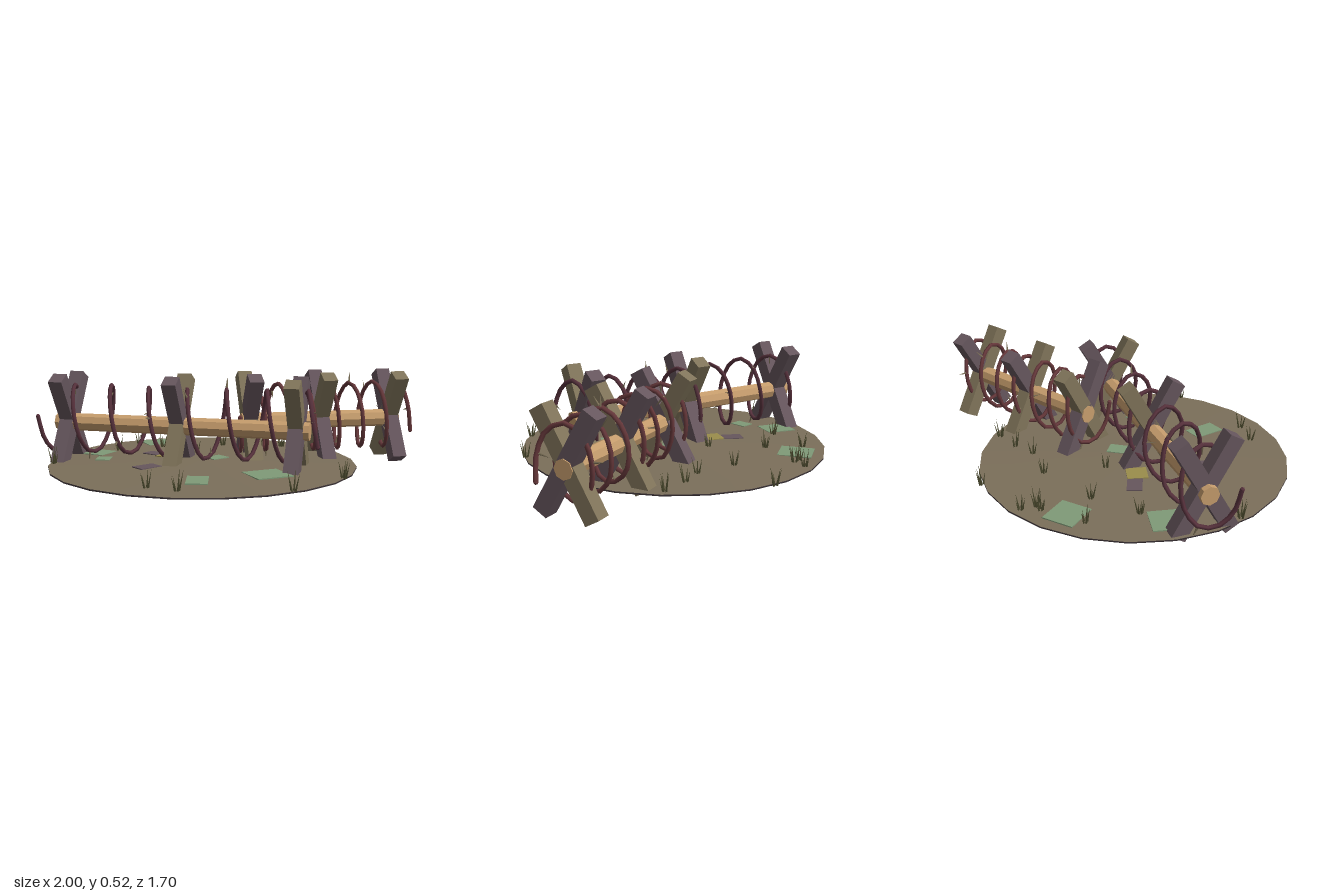
import * as THREE from 'three';

const mat = (name, color, extra = {}) => {
  const m = new THREE.MeshStandardMaterial({ color, ...extra });
  m.name = name;
  return m;
};

export function createModel() {
  const M = {
    earth: mat('earth', 0x7b6f5a),
    darkEarth: mat('dark earth', 0x4c4145),
    beam: mat('pale timber', 0xc59c6c),
    olive: mat('olive timber', 0x80745a),
    purple: mat('purple timber', 0x66565d),
    wire: mat('purple wire', 0x58323d),
    rust: mat('rusty wire', 0x68393c),
    grass: mat('dry grass', 0x4b4a2e),
    moss: mat('moss', 0x7f9a78),
    straw: mat('straw', 0x9a8d4c),
  };
  const model = new THREE.Group();
  model.name = 'barricadeDiorama';

  const add = (parent, name, geometry, material, x = 0, y = 0, z = 0) => {
    const mesh = new THREE.Mesh(geometry, material);
    mesh.name = name;
    mesh.position.set(x, y, z);
    parent.add(mesh);
    return mesh;
  };

  let seed = 7;
  const rand = () => (seed = (seed * 16807) % 2147483647) / 2147483647;

  // Gently domed ground disc with a dark underside
  const R = 0.836, cx = -0.1, cz = 0.015;
  const V = (x, y) => new THREE.Vector2(x, y);
  const groundY = (x, z) => 0.06 - 0.018 * Math.min(1, Math.hypot(x - cx, z - cz) / R);
  add(model, 'groundTop', new THREE.LatheGeometry(
    [V(R, 0.042), V(R * 0.5, 0.051), V(0, 0.06)], 24, Math.PI / 24), M.earth, cx, 0, cz);
  add(model, 'groundUnderside', new THREE.LatheGeometry(
    [V(0, 0.034), V(R, 0.034), V(R, 0.042)], 24, Math.PI / 24), M.darkEarth, cx, 0, cz);

  // Flat patches on the ground: x, z, width, depth, turn, material
  [
    [-0.55, -0.5, 0.17, 0.18, 0.7, M.moss],
    [-0.77, -0.08, 0.17, 0.15, -0.2, M.moss],
    [-0.65, 0.1, 0.08, 0.1, 0.2, M.moss],
    [-0.04, -0.05, 0.09, 0.11, -0.6, M.moss],
    [0.32, 0.27, 0.2, 0.19, 0.7, M.moss],
    [0.02, 0.5, 0.11, 0.18, 0.25, M.moss],
    [-0.33, 0.27, 0.09, 0.13, -0.6, M.purple],
    [-0.42, -0.1, 0.12, 0.08, -0.4, M.purple],
    [-0.32, -0.05, 0.11, 0.11, -0.25, M.straw],
  ].forEach(([x, z, w, d, turn, m]) => {
    add(model, 'groundPatch', new THREE.BoxGeometry(w, 0.006, d), m, x, groundY(x, z) + 0.001, z)
      .rotation.y = turn;
  });

  // Grass clumps made from narrow leaning blades
  const bladeGeo = new THREE.ConeGeometry(0.006, 1, 3).translate(0, 0.5, 0);
  [
    [-0.12, -0.83], [-0.43, -0.7], [-0.43, -0.62], [-0.47, -0.61], [-0.65, -0.44],
    [-0.46, -0.35], [-0.13, -0.5], [0.1, -0.5], [0.22, -0.57], [0.37, -0.62],
    [-0.2, -0.18], [-0.67, -0.17], [-0.87, 0.27], [0.7, 0.22], [0.51, 0.57],
    [-0.17, 0.7], [-0.01, 0.72],
  ].forEach(([x, z]) => {
    const clump = new THREE.Group();
    clump.name = 'grassClump';
    clump.position.set(x, groundY(x, z) - 0.003, z);
    for (let i = 0; i < 5; i++) {
      const a = i * 1.26 + rand();
      const blade = add(clump, 'grassBlade', bladeGeo, M.grass,
        Math.cos(a) * 0.01, 0, Math.sin(a) * 0.01);
      blade.scale.y = 0.06 + 0.05 * rand();
      blade.rotation.set(Math.sin(a) * 0.22, 0, -Math.cos(a) * 0.22);
    }
    model.add(clump);
  });

  // Barricade: a beam carried by three crossed frames and wrapped in barbed wire
  const legGeo = new THREE.BoxGeometry(0.08, 0.555, 0.08);
  const barbGeo = new THREE.ConeGeometry(0.008, 0.075, 4).translate(0, 0.03, 0);
  const axisY = 0.245, beamR = 0.049;

  function barricade(name, x, z, turn, stretch, forward, backward, wireMat) {
    const g = new THREE.Group();
    g.name = name;
    g.position.set(x, 0, z);
    g.rotation.y = turn;

    const beam = add(g, 'beam', new THREE.CylinderGeometry(beamR, beamR, 1.44 * stretch, 8),
      M.beam, 0, axisY, 0);
    beam.rotation.z = Math.PI / 2;
    beam.material.flatShading = true;

    for (let i = 0; i < 3; i++) {
      const fx = (i - 1) * 0.65 * stretch;
      add(g, 'forwardLeg', legGeo, forward[i], fx, 0.263, 0).rotation.x = Math.PI / 6;
      add(g, 'backwardLeg', legGeo, backward[i], fx, 0.263, 0).rotation.x = -Math.PI / 6;
    }

    // Oval coil, descending along the front
    const turns = 7.09, steps = 64, pts = [], out = [];
    for (let i = 0; i <= steps; i++) {
      const t = i / steps;
      const a = 1.45 + t * turns * Math.PI * 2;
      const k = 1 + 0.06 * (rand() - 0.5);
      out.push(new THREE.Vector3(0.3 * (rand() - 0.5), Math.cos(a), Math.sin(a)).normalize());
      pts.push(new THREE.Vector3((t - 0.5) * 1.56 * stretch,
        0.265 + 0.19 * k * Math.cos(a), 0.125 * k * Math.sin(a)));
    }
    add(g, 'barbedWire', new THREE.TubeGeometry(
      new THREE.CatmullRomCurve3(pts), steps * 2, 0.012, 5), wireMat);
    [0, steps].forEach((i) => add(g, 'wireEnd', new THREE.IcosahedronGeometry(0.012, 0),
      wireMat, ...pts[i].toArray()));

    // Barbs along the coil
    const up = new THREE.Vector3(0, 1, 0);
    for (let i = 3; i < steps; i += 4) {
      const dir = out[i].clone().multiplyScalar(i % 8 === 3 ? 1 : -1);
      add(g, 'barb', barbGeo, M.olive, ...pts[i].toArray())
        .quaternion.setFromUnitVectors(up, dir);
    }
    model.add(g);
  }

  const P = M.purple, O = M.olive;
  barricade('longBarricade', -0.22, 0.065, 0, 1, [P, P, O], [P, O, P], M.wire);
  barricade('shortBarricade', 0.48, -0.405, 0.494, 0.65, [P, O, O], [O, P, P], M.rust);
  return model;
}
